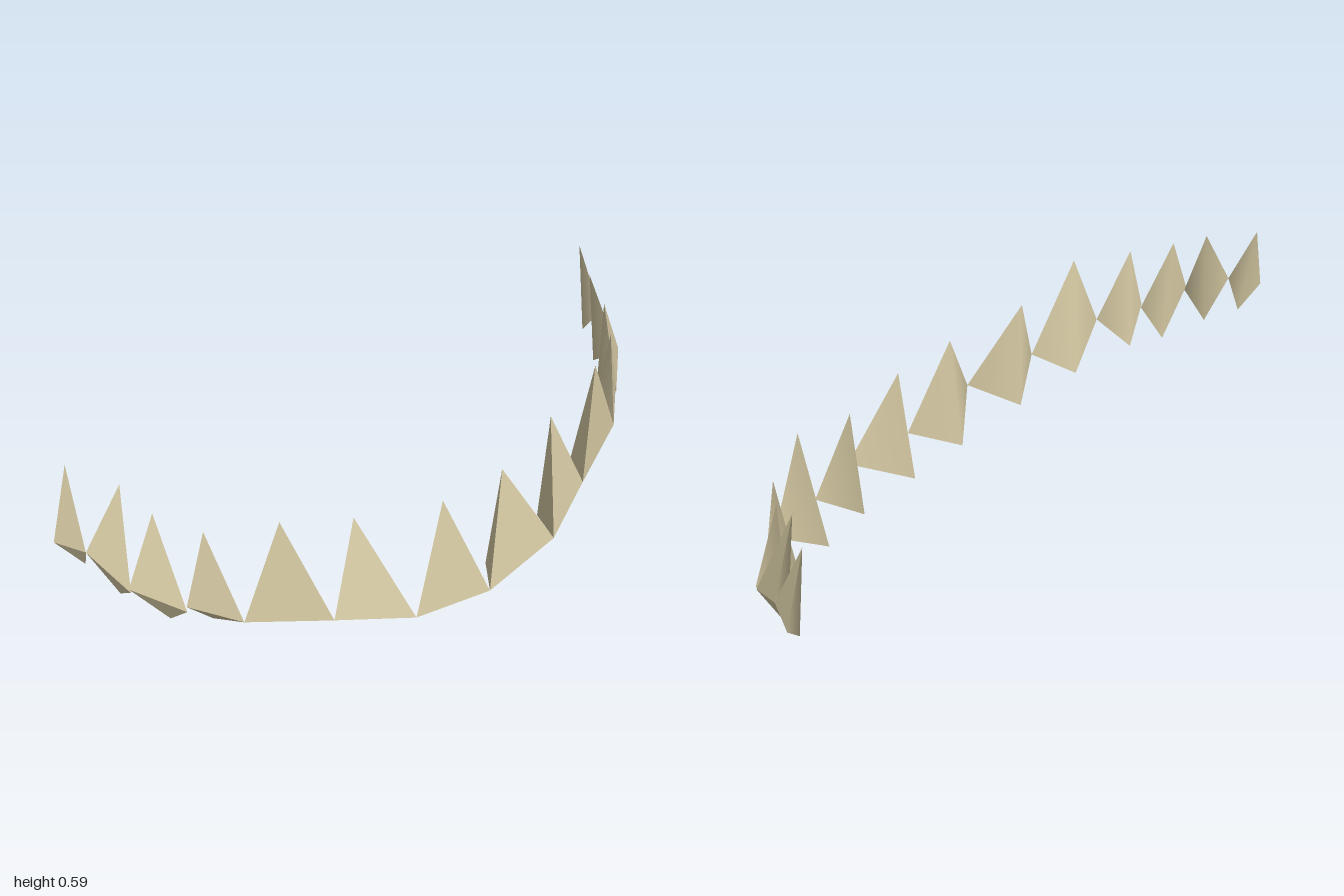
import * as THREE from 'three';

// One half of the row, from the middle outwards.
// Each tooth: inner base corner, outer base corner, tip, root (x, y, z).
const TEETH = [
  [[0, 0.042, 0.302], [0.265, 0.088, 0.29], [0.11, 0.375, 0.218], [0.107, 0, 0.168]],
  [[0.265, 0.088, 0.29], [0.476, 0.14, 0.199], [0.364, 0.407, 0.152], [0.35, 0.037, 0.136]],
  [[0.476, 0.14, 0.199], [0.7, 0.205, 0.11], [0.575, 0.482, 0.121], [0.547, 0.09, 0.07]],
  [[0.7, 0.205, 0.11], [0.808, 0.254, 0.012], [0.742, 0.48, 0.027], [0.722, 0.145, -0.014]],
  [[0.81, 0.24, 0.015], [0.915, 0.312, -0.083], [0.82, 0.515, -0.079], [0.815, 0.157, -0.075]],
  [[0.912, 0.3, -0.08], [0.957, 0.377, -0.21], [0.85, 0.565, -0.176], [0.9, 0.229, -0.173]],
  [[0.957, 0.377, -0.21], [1, 0.376, -0.302], [0.93, 0.594, -0.302], [0.94, 0.291, -0.268]],
];

// Sharp front and lower faces, and two back faces that share smooth normals.
function toothGeometry(a, b, tip, root) {
  const points = [a, b, tip, a, root, b, a, b, tip, root];
  const geometry = new THREE.BufferGeometry();
  geometry.setAttribute('position', new THREE.Float32BufferAttribute(points.flat(), 3));
  geometry.setIndex([0, 1, 2, 3, 4, 5, 6, 8, 9, 7, 9, 8]);
  geometry.computeVertexNormals();
  return geometry;
}

export function createModel() {
  const model = new THREE.Group();
  model.name = 'teethRow';
  const ivory = new THREE.MeshStandardMaterial({ color: 0xd4c8a2 });
  ivory.name = 'ivory';

  for (const [side, sign] of [['left', 1], ['right', -1]]) {
    const half = new THREE.Group();
    half.name = `${side}Teeth`;
    TEETH.forEach((corners, i) => {
      const [inner, outer, tip, root] = corners.map(([x, y, z]) => [sign * x, y, z]);
      // Mirrored teeth swap their base corners so the faces still point outwards.
      const geometry = sign > 0 ? toothGeometry(inner, outer, tip, root) : toothGeometry(outer, inner, tip, root);
      const tooth = new THREE.Mesh(geometry, ivory);
      tooth.name = `${side}Tooth${i + 1}`;
      half.add(tooth);
    });
    model.add(half);
  }
  return model;
}
